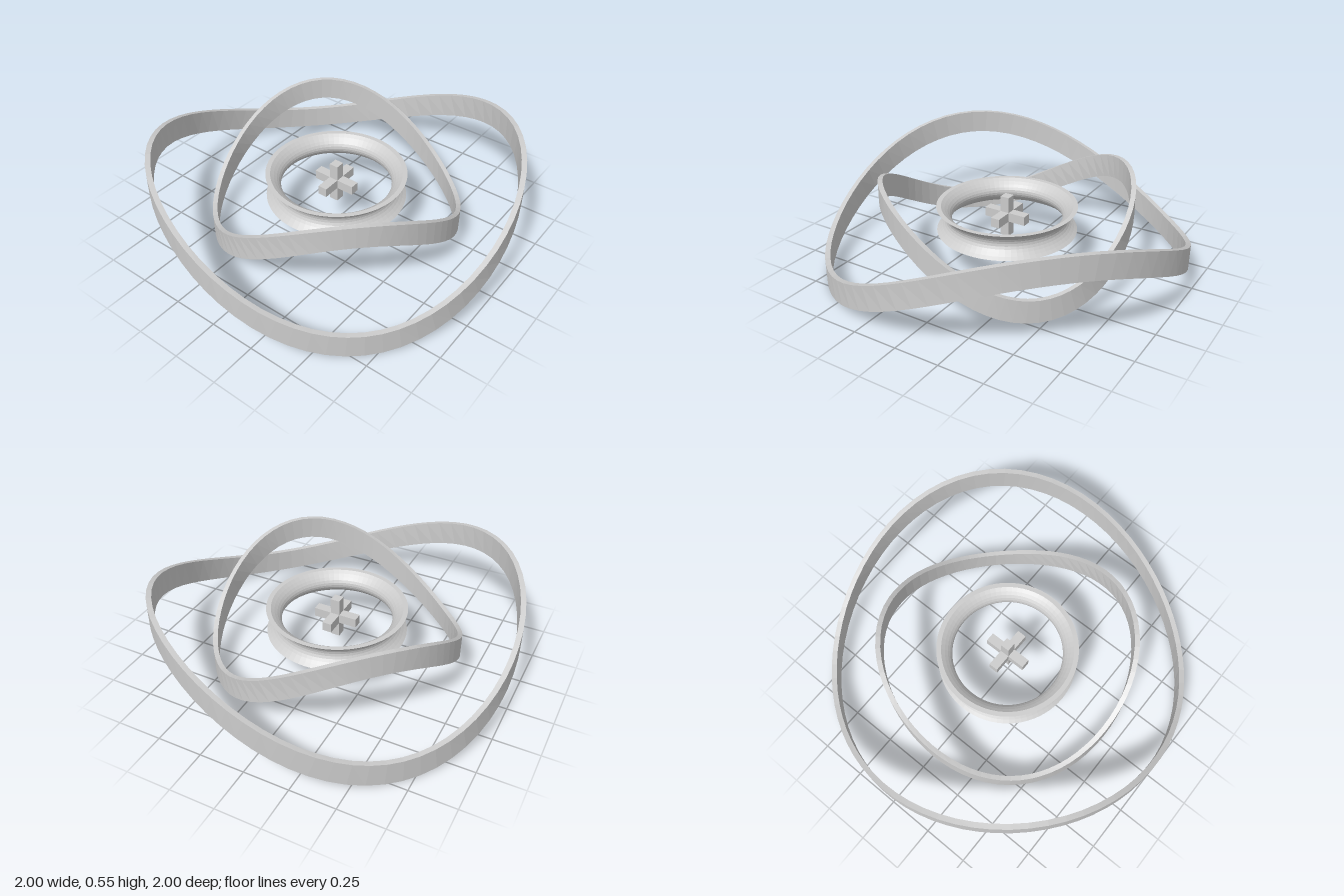
import * as THREE from 'three';

const MID = 0.28; // height of the shared centre
const material = new THREE.MeshStandardMaterial({ color: 0xcccccc, flatShading: true });

// Closed band with a rectangular section, rising and falling twice per turn.
// The section stays square to the path, so it leans along the slope.
function waveBand(name, radius, thickness, height, amplitude, segments = 72) {
  const positions = [], index = [];
  const corners = [[1, -1], [1, 1], [-1, 1], [-1, -1]];
  for (let i = 0; i < segments; i++) {
    const a = (i / segments) * Math.PI * 2;
    const out = new THREE.Vector3(Math.cos(a), 0, Math.sin(a));
    const tangent = new THREE.Vector3(
      -radius * Math.sin(a), 2 * amplitude * Math.cos(2 * a), radius * Math.cos(a)).normalize();
    const up = new THREE.Vector3().crossVectors(tangent, out).normalize();
    const centre = out.clone().multiplyScalar(radius);
    centre.y = MID + amplitude * Math.sin(2 * a);
    for (const [u, v] of corners) {
      const p = centre.clone()
        .addScaledVector(out, u * thickness / 2)
        .addScaledVector(up, v * height / 2);
      positions.push(p.x, p.y, p.z);
    }
    const next = (i + 1) % segments;
    for (let k = 0; k < 4; k++) {
      const l = (k + 1) % 4;
      const p = i * 4 + k, q = i * 4 + l, r = next * 4 + l, s = next * 4 + k;
      index.push(p, q, r, p, r, s);
    }
  }
  const geometry = new THREE.BufferGeometry();
  geometry.setAttribute('position', new THREE.Float32BufferAttribute(positions, 3));
  geometry.setIndex(index);
  geometry.computeVertexNormals();
  const mesh = new THREE.Mesh(geometry, material);
  mesh.name = name;
  return mesh;
}

// Inner ring: a thin waisted wall, narrow at mid height and flared at both rims
function waistedRing() {
  const half = 0.07, steps = 10, profile = [];
  const wall = (waist, rim, t) => Math.sqrt(waist ** 2 + (rim ** 2 - waist ** 2) * t * t);
  for (let i = 0; i <= steps; i++) {
    const t = -1 + (2 * i) / steps;
    profile.push(new THREE.Vector2(wall(0.335, 0.388, t), t * half));
  }
  for (let i = steps; i >= 0; i--) {
    const t = -1 + (2 * i) / steps;
    profile.push(new THREE.Vector2(wall(0.305, 0.362, t), t * half));
  }
  profile.push(profile[0].clone());
  const mesh = new THREE.Mesh(new THREE.LatheGeometry(profile, 72), material);
  mesh.position.y = MID;
  mesh.name = 'innerRing';
  return mesh;
}

// Three crossed bars at the centre
function centreCross() {
  const cross = new THREE.Group();
  cross.name = 'centreCross';
  const long = 0.25, thin = 0.052;
  for (const [name, ...size] of [
    ['crossBarX', long, thin, thin],
    ['crossBarY', thin, 0.23, thin],
    ['crossBarZ', thin, thin, long],
  ]) {
    const bar = new THREE.Mesh(new THREE.BoxGeometry(...size), material);
    bar.name = name;
    cross.add(bar);
  }
  cross.position.y = MID + 0.005;
  return cross;
}

export function createModel() {
  const model = new THREE.Group();
  model.name = 'nestedRings';
  model.add(
    waveBand('outerRing', 0.985, 0.028, 0.132, 0.211),
    waveBand('middleRing', 0.677, 0.026, 0.126, 0.192).rotateY(Math.PI / 2),
    waistedRing(),
    centreCross(),
  );
  return model;
}
